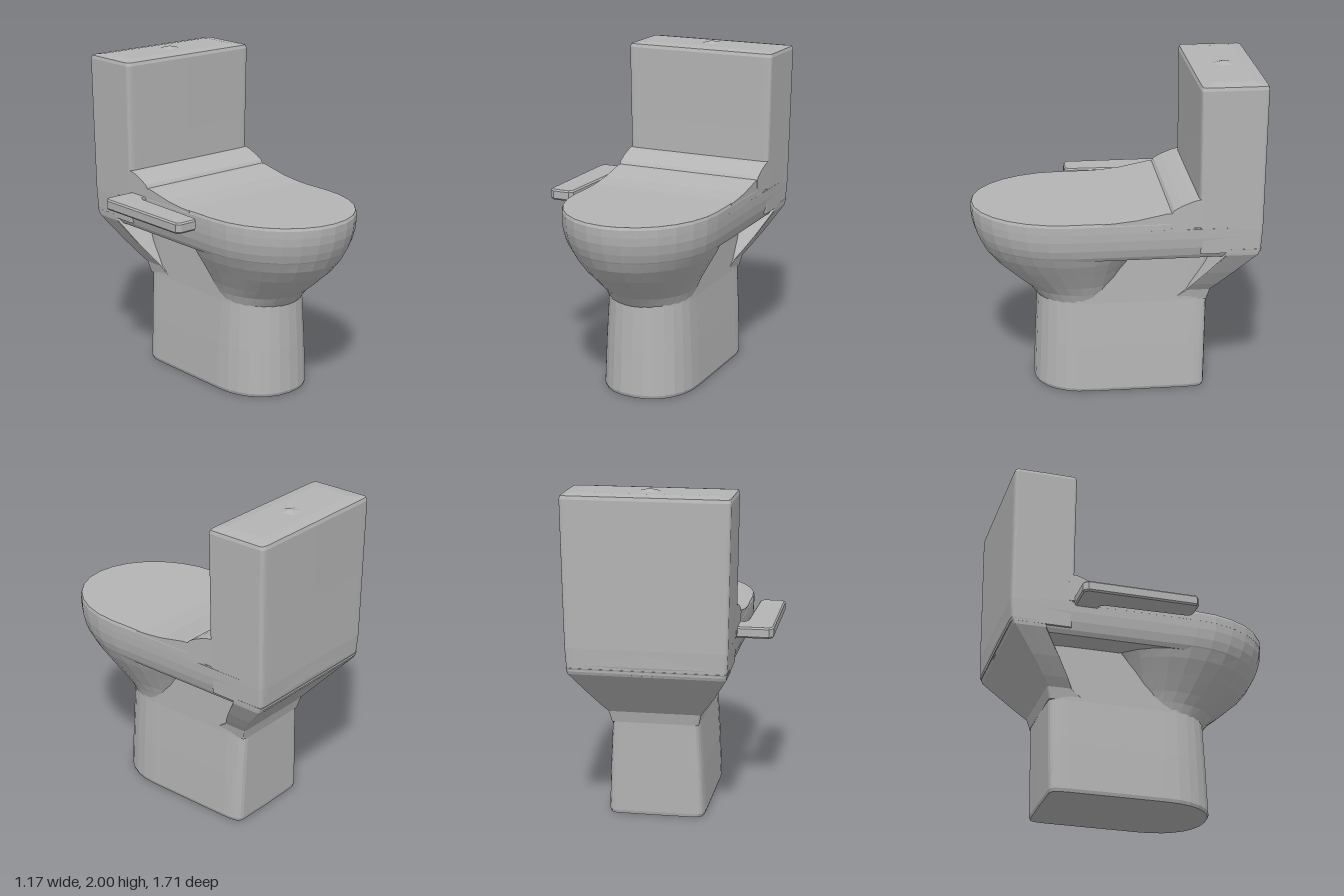
import * as THREE from 'three';

const CX = 0.095; // body centre line; the side arm shifts it off x = 0

// Horizontal cross-section: curved front (zm to zf) and back (zm to zb).
// Exponent 2 is an ellipse, larger values are squarer.
function ring([y, w, zf, zm, zb], nf, nb, half = 14) {
  const points = [];
  const power = (v, n) => Math.sign(v) * Math.pow(Math.abs(v), 2 / n);
  for (let i = 0; i < half * 2; i++) {
    const t = (i / half) * Math.PI;
    const front = i <= half;
    const n = front ? nf : nb;
    const s = power(Math.sin(t), n);
    points.push([CX - w * power(Math.cos(t), n), y, zm + s * (front ? zf - zm : zm - zb)]);
  }
  return points;
}

// Skin a stack of sections, bottom to top, and close both ends
function loft(sections, nf, nb) {
  const rings = sections.map((s) => ring(s, nf, nb));
  const n = rings[0].length;
  const positions = rings.flat(2);
  const index = [];
  for (let r = 0; r < rings.length - 1; r++) {
    for (let j = 0; j < n; j++) {
      const a = r * n + j, b = r * n + ((j + 1) % n);
      index.push(a, b, b + n, a, b + n, a + n);
    }
  }
  const last = (rings.length - 1) * n;
  const low = rings.length * n;
  for (const s of [sections[0], sections[sections.length - 1]]) {
    positions.push(CX, s[0], (s[2] + s[4]) / 2);
  }
  for (let j = 0; j < n; j++) {
    const k = (j + 1) % n;
    index.push(low, k, j, low + 1, last + j, last + k);
  }
  const geometry = new THREE.BufferGeometry();
  geometry.setAttribute('position', new THREE.Float32BufferAttribute(positions, 3));
  geometry.setIndex(index);
  geometry.computeVertexNormals();
  return geometry;
}

// Side profile of (z, y) points, extruded across the body
function acrossBody(profile, halfWidth) {
  const shape = new THREE.Shape(profile.map(([z, y]) => new THREE.Vector2(-z, y)));
  return new THREE.ExtrudeGeometry(shape, { depth: halfWidth * 2, bevelEnabled: false })
    .rotateY(Math.PI / 2)
    .translate(CX - halfWidth, 0, 0);
}

export function createModel() {
  const model = new THREE.Group();
  const ceramic = new THREE.MeshStandardMaterial({ color: 0xb4b4b4, flatShading: true });
  ceramic.name = 'grey ceramic';
  const add = (name, geometry) => {
    const mesh = new THREE.Mesh(geometry, ceramic);
    mesh.name = name;
    model.add(mesh);
    return mesh;
  };

  // Sections are [y, half width, front z, middle z, back z]
  add('pedestal', loft([
    [0, 0.288, 0.485, 0.15, -0.54],
    [0.02, 0.295, 0.492, 0.15, -0.545],
    [0.3, 0.284, 0.48, 0.15, -0.55],
    [0.58, 0.268, 0.466, 0.15, -0.555],
    [0.95, 0.27, 0.45, 0.15, -0.57],
  ], 2.2, 16));

  add('bowl', loft([
    [0.57, 0.255, 0.465, 0.2, 0.02],
    [0.64, 0.28, 0.52, 0.2, -0.02],
    [0.7, 0.308, 0.595, 0.22, -0.06],
    [0.8, 0.365, 0.71, 0.24, -0.11],
    [0.88, 0.412, 0.775, 0.26, -0.16],
    [0.95, 0.445, 0.812, 0.28, -0.22],
  ], 2, 2.3));

  add('rim', loft([
    [0.925, 0.43, 0.797, 0.27, -0.78],
    [0.95, 0.446, 0.813, 0.28, -0.83],
    [1.0, 0.462, 0.833, 0.29, -0.843],
    [1.06, 0.471, 0.85, 0.3, -0.845],
    [1.12, 0.474, 0.857, 0.3, -0.845],
  ], 2, 20));

  add('lid', loft([
    [1.11, 0.474, 0.857, 0.3, -0.47],
    [1.155, 0.474, 0.858, 0.3, -0.47],
    [1.172, 0.468, 0.85, 0.3, -0.47],
  ], 2, 24));

  add('lidSlope', acrossBody([
    [0.1, 1.13], [0.1, 1.171], [0.03, 1.174], [-0.1, 1.188], [-0.2, 1.208],
    [-0.27, 1.222], [-0.32, 1.225], [-0.32, 1.13],
  ], 0.472));

  add('hingeCover', acrossBody([
    [-0.3, 1.13], [-0.3, 1.222], [-0.315, 1.243], [-0.36, 1.268],
    [-0.43, 1.295], [-0.46, 1.302], [-0.5, 1.302], [-0.5, 1.13],
  ], 0.474));

  // Flared bracket from the pedestal up to the tank
  add('rearFlare', loft([
    [0.58, 0.262, -0.32, -0.43, -0.555],
    [0.65, 0.278, -0.42, -0.48, -0.572],
    [0.7, 0.315, -0.45, -0.53, -0.615],
    [0.8, 0.38, -0.52, -0.61, -0.7],
    [0.94, 0.46, -0.62, -0.72, -0.825],
    [0.98, 0.466, -0.63, -0.73, -0.842],
  ], 24, 24));

  add('tank', loft([
    [0.96, 0.464, -0.47, -0.65, -0.838],
    [1.1, 0.472, -0.463, -0.65, -0.847],
    [1.5, 0.479, -0.462, -0.655, -0.85],
    [1.955, 0.486, -0.458, -0.655, -0.854],
    [1.975, 0.48, -0.466, -0.655, -0.847],
    [1.985, 0.4, -0.53, -0.655, -0.78],
  ], 24, 24));

  // Low pyramid button on the tank
  const button = add('flushButton', new THREE.ConeGeometry(0.075, 0.018, 5));
  button.position.set(CX, 1.991, -0.66);

  // Side arm with a short bridge to the seat
  const plan = [
    [-0.35, -0.455], [-0.56, -0.455], [-0.58, -0.43], [-0.578, 0.225], [-0.555, 0.24],
    [-0.455, 0.24], [-0.438, 0.22], [-0.425, -0.29], [-0.405, -0.325], [-0.35, -0.325],
  ];
  const armShape = new THREE.Shape(plan.map(([x, z]) => new THREE.Vector2(x, -z)));
  add('controlArm', new THREE.ExtrudeGeometry(armShape, {
    depth: 0.046, bevelThickness: 0.01, bevelSize: 0.008, bevelSegments: 1,
  }).rotateX(-Math.PI / 2).translate(0, 1.11, 0));

  return model;
}
